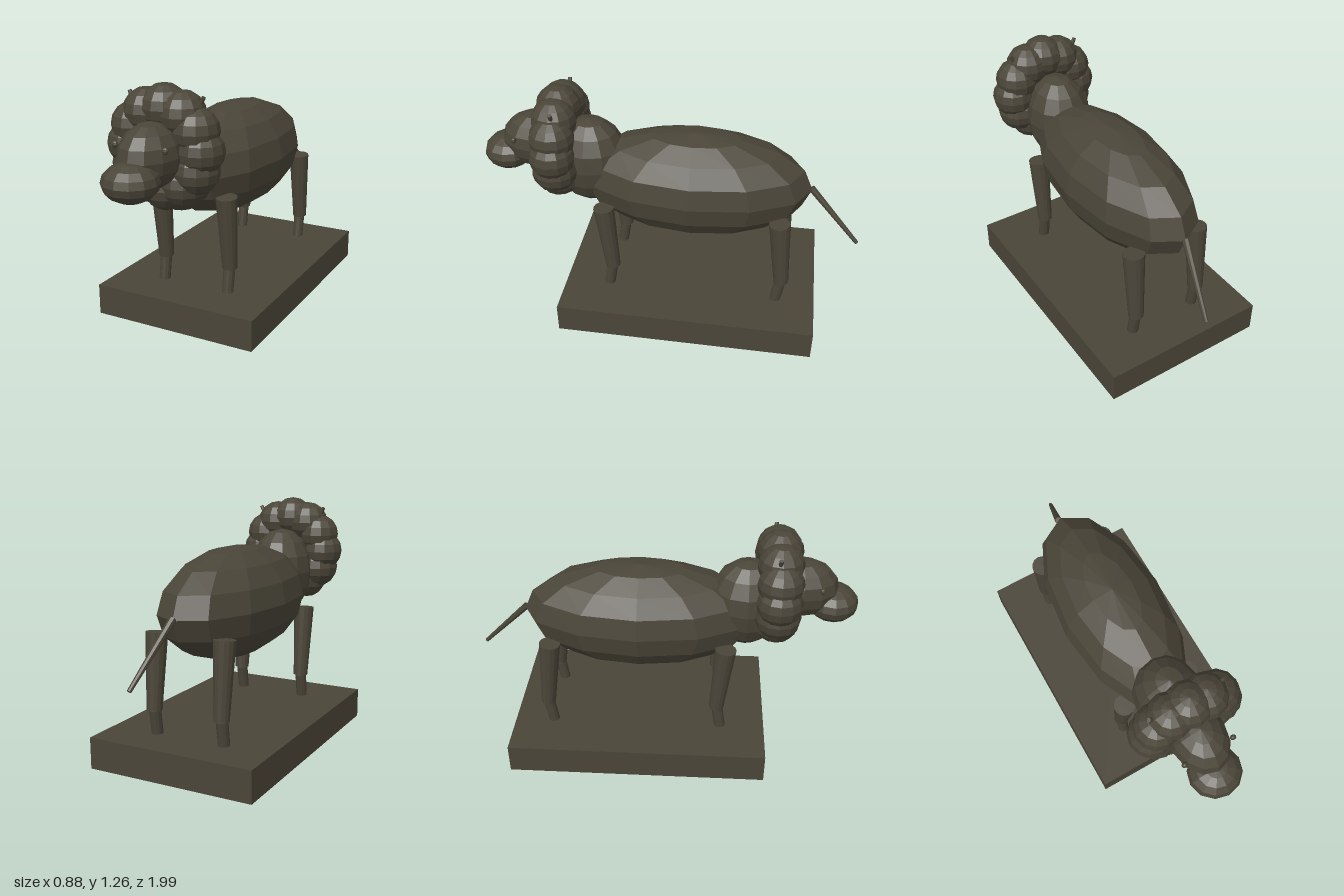
import * as THREE from 'three';

export function createModel() {
  const model = new THREE.Group();
  model.name = 'lionStatue';
  const bronze = new THREE.MeshStandardMaterial({ color: 0x4a4538, flatShading: true });
  bronze.name = 'dark bronze';

  const add = (name, geometry, parent = model) => {
    const mesh = new THREE.Mesh(geometry, bronze);
    mesh.name = name;
    parent.add(mesh);
    return mesh;
  };

  // Faceted ellipsoid with its poles up and down
  const ellipsoid = (name, pos, radii, parent, w = 12, h = 8) => {
    const mesh = add(name, new THREE.SphereGeometry(1, w, h).scale(...radii), parent);
    mesh.position.set(...pos);
    return mesh;
  };

  // Tapered rod between two points
  const rod = (name, top, bottom, rTop, rBottom, sides = 12, parent = model) => {
    const a = new THREE.Vector3(...top), b = new THREE.Vector3(...bottom);
    const dir = a.clone().sub(b);
    const mesh = add(name, new THREE.CylinderGeometry(rTop, rBottom, dir.length(), sides), parent);
    mesh.position.copy(a).add(b).multiplyScalar(0.5);
    mesh.quaternion.setFromUnitVectors(new THREE.Vector3(0, 1, 0), dir.normalize());
    return mesh;
  };

  // Plinth
  add('plinth', new THREE.BoxGeometry(0.88, 0.16, 1.358)).position.set(0, 0.08, -0.123);

  // Trunk, neck, head
  ellipsoid('body', [0, 0.765, -0.12], [0.28, 0.285, 0.61]);
  ellipsoid('neck', [0, 0.848, 0.43], [0.172, 0.24, 0.2]);
  ellipsoid('head', [0, 0.945, 0.7], [0.142, 0.155, 0.19]);
  ellipsoid('muzzle', [0, 0.862, 0.868], [0.135, 0.093, 0.13]);

  // Mane: a ring of twelve tufts
  const mane = new THREE.Group();
  mane.name = 'mane';
  mane.position.set(0, 0.956, 0.58);
  model.add(mane);
  for (let i = 0; i < 12; i++) {
    const a = (i * Math.PI) / 6;
    ellipsoid('maneTuft', [0.188 * Math.sin(a), 0.188 * Math.cos(a), 0], [0.113, 0.113, 0.116], mane);
  }

  // Paired eyes, ears and legs
  for (const s of [1, -1]) {
    const side = s > 0 ? 'left' : 'right';
    ellipsoid(side + 'Eye', [s * 0.131, 1.0, 0.79], [0.016, 0.017, 0.013], model, 10, 6);
    rod(side + 'Ear', [s * 0.198, 1.203, 0.567], [s * 0.165, 1.14, 0.567], 0.01, 0.014, 8);
    for (const [end, z] of [['Front', 0.33], ['Hind', -0.58]]) {
      const leg = new THREE.Group();
      leg.name = side + end + 'Leg';
      model.add(leg);
      rod('upperLeg', [s * 0.187, 0.668, z], [s * 0.187, 0.285, z - 0.036], 0.055, 0.039, 14, leg);
      rod('lowerLeg', [s * 0.187, 0.285, z - 0.032], [s * 0.187, 0.15, z - 0.012], 0.03, 0.029, 12, leg);
    }
  }

  // Tail
  rod('tail', [0, 0.775, -0.725], [0.062, 0.495, -0.988], 0.019, 0.011, 8);

  return model;
}
